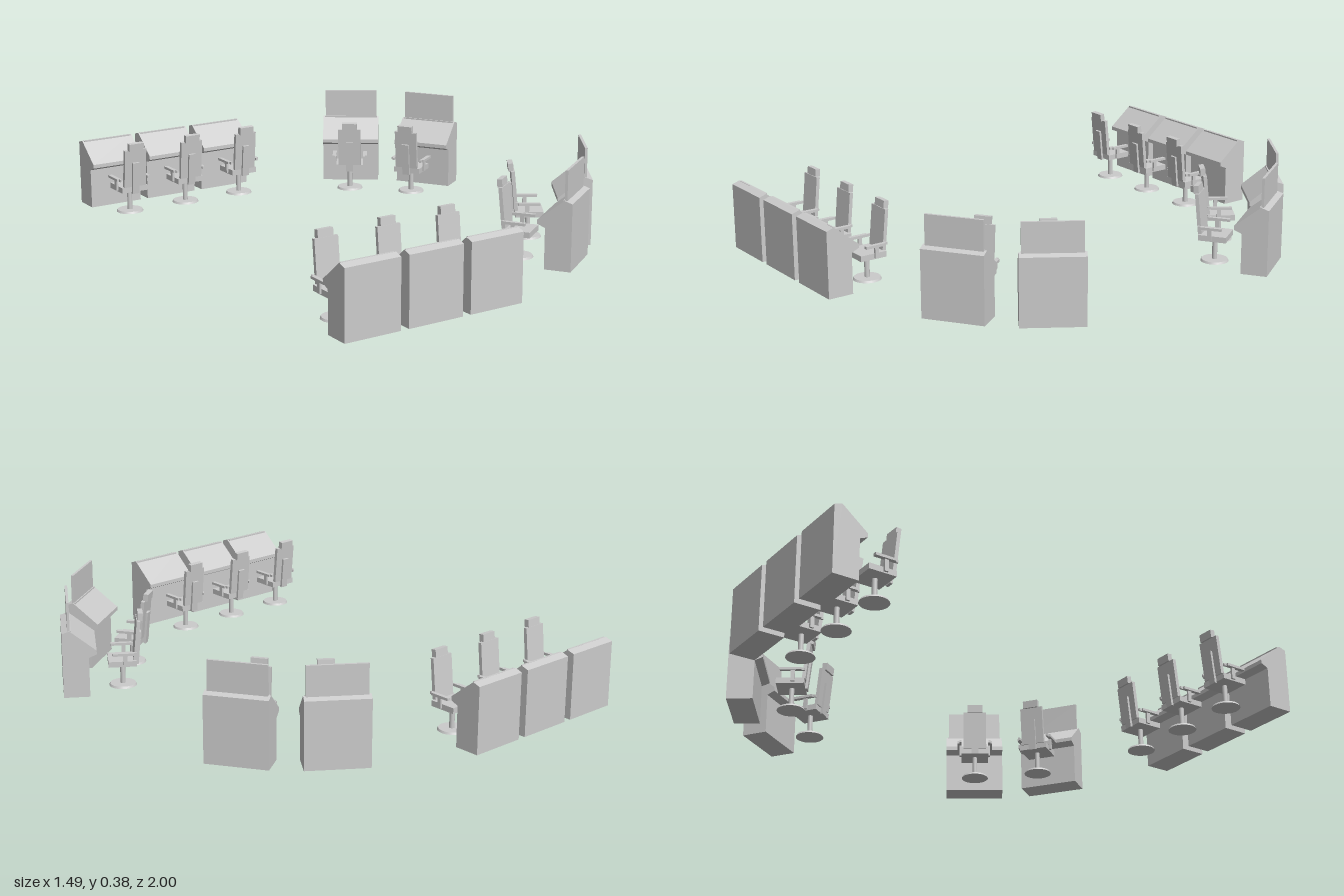
import * as THREE from 'three';

const mat = new THREE.MeshStandardMaterial({ color: 0xcccccc, flatShading: true });
const matSmooth = new THREE.MeshStandardMaterial({ color: 0xcccccc });

function add(parent, name, geo, x = 0, y = 0, z = 0, material = mat) {
  const mesh = new THREE.Mesh(geo, material);
  mesh.name = name;
  mesh.position.set(x, y, z);
  parent.add(mesh);
  return mesh;
}
const box = (w, h, d) => new THREE.BoxGeometry(w, h, d);

// Desk with sloping worktop: side profile (z, y) extruded across its width
function makeConsole(width, withScreen) {
  const g = new THREE.Group();
  g.name = 'console';
  const profile = [[0.065, 0], [0.065, 0.256], [0.035, 0.266], [-0.065, 0.185], [-0.065, 0.17], [-0.035, 0.157], [-0.035, 0]];
  const shape = new THREE.Shape(profile.map(([z, y]) => new THREE.Vector2(z, y)));
  const body = new THREE.ExtrudeGeometry(shape, { depth: width, bevelEnabled: false });
  body.rotateY(-Math.PI / 2).translate(width / 2, 0, 0);
  add(g, 'consoleBody', body);
  // raised trim along the ridge
  add(g, 'ridgeTrim', box(width - 0.012, 0.008, 0.008), 0, 0.262, 0.032);
  if (withScreen) add(g, 'screen', box(0.218, 0.125, 0.01), 0, 0.3145, 0.038);
  return g;
}

// Swivel chair facing +z, centred on its post
function makeChair() {
  const g = new THREE.Group();
  g.name = 'chair';
  add(g, 'chairBase', new THREE.CylinderGeometry(0.05, 0.054, 0.008, 24), 0, 0.004, 0, matSmooth);
  add(g, 'chairPost', new THREE.CylinderGeometry(0.01, 0.01, 0.09, 14), 0, 0.05, 0, matSmooth);
  add(g, 'seat', box(0.112, 0.022, 0.108), 0, 0.102, 0.002);

  // reclined back with headrest
  const back = new THREE.Group();
  back.name = 'chairBack';
  back.position.set(0, 0.092, -0.046);
  back.rotation.x = -0.1;
  add(back, 'backrest', box(0.094, 0.155, 0.014), 0, 0.1, 0);
  add(back, 'backSupport', box(0.03, 0.13, 0.01), 0, 0.06, -0.011);
  add(back, 'headrest', box(0.062, 0.03, 0.02), 0, 0.191, -0.006);
  g.add(back);

  // armrests
  for (const s of [-1, 1]) {
    add(g, 'armrest', box(0.016, 0.01, 0.082), s * 0.064, 0.145, 0);
    add(g, 'armPost', box(0.008, 0.046, 0.016), s * 0.06, 0.119, -0.008);
    add(g, 'armRear', box(0.008, 0.01, 0.016), s * 0.06, 0.145, -0.045);
  }
  return g;
}

// One workplace: console on the outer side, chair on the inner side
function makeStation(x, z, angle, width, withScreen, gap) {
  const g = new THREE.Group();
  g.name = 'workstation';
  const chair = makeChair();
  chair.position.z = -gap;
  g.add(makeConsole(width, withScreen), chair);
  g.position.set(x, 0, z);
  g.rotation.y = angle;
  return g;
}

export function createModel() {
  const model = new THREE.Group();
  model.name = 'controlRoom';
  const deg = Math.PI / 180;
  // the two sides mirror each other across z = 0
  for (const s of [1, -1]) {
    const turn = a => (s > 0 ? a * deg : (180 - a) * deg);
    // straight row
    for (let i = 0; i < 3; i++) {
      model.add(makeStation(-0.64 + i * 0.2525, s * 0.935, turn(0), 0.22, false, 0.16));
    }
    // angled pair with screens
    model.add(makeStation(0.389, s * 0.714, turn(34.5), 0.236, true, 0.166));
    model.add(makeStation(0.62, s * 0.483, turn(56.5), 0.236, true, 0.166));
  }
  return model;
}
